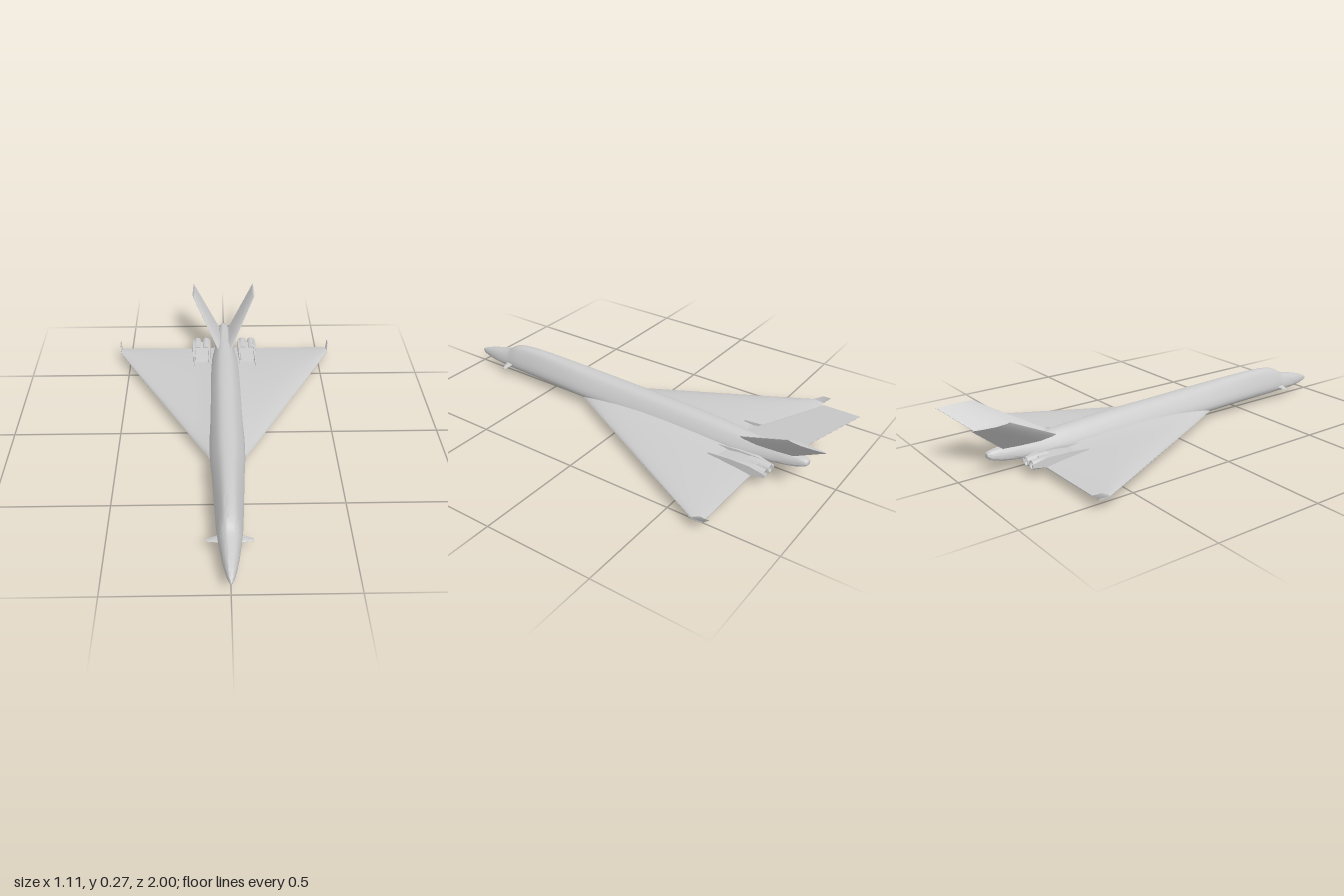
import * as THREE from 'three';
import { toCreasedNormals } from 'three/addons/utils/BufferGeometryUtils.js';

const grey = new THREE.MeshStandardMaterial({ color: 0xcccccc });

// Skin a list of equal-length point rings, cap both ends, face outward
function loft(rings, crease = 0.6) {
  const n = rings[0].length, pos = [], idx = [];
  rings.forEach(r => r.forEach(p => pos.push(...p)));
  for (let i = 0; i < rings.length - 1; i++) {
    for (let j = 0; j < n; j++) {
      const a = i * n + j, b = i * n + (j + 1) % n;
      idx.push(a, b, a + n, b, b + n, a + n);
    }
  }
  [0, rings.length - 1].forEach(i => {
    const c = pos.length / 3;
    for (let k = 0; k < 3; k++) pos.push(rings[i].reduce((s, p) => s + p[k], 0) / n);
    for (let j = 0; j < n; j++) {
      const a = i * n + j, b = i * n + (j + 1) % n;
      if (i === 0) idx.push(c, b, a); else idx.push(c, a, b);
    }
  });
  // the sign of the volume tells whether the faces point outward
  const v = i => new THREE.Vector3().fromArray(pos, idx[i] * 3);
  let volume = 0;
  for (let i = 0; i < idx.length; i += 3) volume += v(i).dot(v(i + 1).cross(v(i + 2)));
  if (volume < 0) idx.reverse();
  const g = new THREE.BufferGeometry();
  g.setAttribute('position', new THREE.Float32BufferAttribute(pos, 3));
  g.setIndex(idx);
  return toCreasedNormals(g, crease);
}

function mesh(name, geometry) {
  const m = new THREE.Mesh(geometry, grey);
  m.name = name;
  return m;
}

// Smoothly interpolate rows of numbers, t from 0 to 1 across the rows
function sample(rows, t) {
  const f = t * (rows.length - 1), i = Math.min(Math.floor(f), rows.length - 2), u = f - i;
  const r = k => rows[Math.max(0, Math.min(rows.length - 1, k))];
  return rows[0].map((_, c) => {
    const [a, b, d, e] = [r(i - 1)[c], r(i)[c], r(i + 1)[c], r(i + 2)[c]];
    const m0 = (d - a) / 2, m1 = (e - b) / 2;
    return b + u * m0 + u * u * (3 * (d - b) - 2 * m0 - m1) + u * u * u * (2 * (b - d) + m0 + m1);
  });
}

// Fuselage: z, half width, bottom y, top y
const BODY = [
  [1.0, 0.002, 0.058, 0.064], [0.98, 0.011, 0.048, 0.076], [0.94, 0.022, 0.041, 0.091],
  [0.88, 0.034, 0.036, 0.107], [0.8, 0.046, 0.034, 0.126], [0.765, 0.05, 0.034, 0.147],
  [0.73, 0.054, 0.033, 0.16], [0.66, 0.058, 0.032, 0.168], [0.56, 0.063, 0.032, 0.17],
  [0.4, 0.071, 0.031, 0.166], [0.25, 0.079, 0.03, 0.161], [0, 0.079, 0.03, 0.153],
  [-0.3, 0.077, 0.03, 0.143], [-0.52, 0.068, 0.03, 0.13], [-0.65, 0.052, 0.034, 0.12],
  [-0.75, 0.038, 0.042, 0.113], [-0.82, 0.028, 0.052, 0.107], [-0.86, 0.021, 0.066, 0.1],
  [-0.87, 0.014, 0.073, 0.094],
];
function fuselage() {
  const rings = [], steps = 72, sides = 36;
  for (let i = 0; i <= steps; i++) {
    const [z, w, lo, hi] = sample(BODY, i / steps);
    const mid = lo + (hi - lo) * 0.33;
    const blend = THREE.MathUtils.smoothstep(z, -0.85, -0.6) * (1 - THREE.MathUtils.smoothstep(z, 0.65, 0.95));
    rings.push(Array.from({ length: sides }, (_, j) => {
      const a = (j / sides) * Math.PI * 2, c = Math.cos(a), s = Math.sin(a);
      // tapering flanks above, flattened belly below
      const pinch = s > 0 ? 1 - 0.18 * blend * Math.sin(2 * a * Math.sign(c)) * Math.sign(c) * Math.sign(c) : 1;
      const x = Math.sign(c) * Math.pow(Math.abs(c), s < 0 ? 0.75 : 1 - 0.1 * blend) * w * pinch;
      const y = s > 0 ? mid + (hi - mid) * Math.pow(s, 0.9)
        : mid - (mid - lo) * Math.pow(-s, 0.75);
      return [x, y, z];
    }));
  }
  return mesh('fuselage', loft(rings, 0.9));
}

// Delta wing: x, leading z, bottom y, top y
const WING = [
  [0, 0.36, 0.027, 0.09], [0.075, 0.26, 0.027, 0.083], [0.1, 0.21, 0.027, 0.077], [0.15, 0.117, 0.028, 0.072],
  [0.22, -0.016, 0.03, 0.068], [0.32, -0.205, 0.033, 0.062], [0.44, -0.43, 0.037, 0.055], [0.55, -0.64, 0.042, 0.049],
];
const CHORD = [0, 0.01, 0.04, 0.1, 0.2, 0.35, 0.5, 0.65, 0.8, 0.9, 1];
function wing(s) {
  return mesh('wing', loft(WING.map(([x, lead, lo, hi]) => {
    const z = t => lead + (-0.69 - lead) * t, le = lo + (hi - lo) * 0.3;
    const top = CHORD.map(t => [s * x, le + (hi - le) * Math.pow(Math.sin(Math.PI * Math.pow(t, 0.75)), 0.7) + 0.002, z(t)]);
    const under = CHORD.slice(1).reverse().map(t => [s * x, lo + (le - lo) * (Math.pow(1 - t, 12) + 0.6 * t ** 6), z(t)]);
    return [...top, ...under];
  }), 0.5));
}

// Thin swept surface from root to tip: each end is [x, y, leading z, trailing z, half thickness]
function fin(name, s, ends) {
  const [r, t] = ends, n = new THREE.Vector2(r[1] - t[1], t[0] - r[0]).normalize();
  const form = [[0, 0.15], [0.08, 0.6], [0.35, 1], [0.7, 0.7], [1, 0.12]];
  return mesh(name, loft(ends.map(([x, y, a, b, h]) => {
    const side = d => form.map(([u, k]) => [s * (x + d * n.x * h * k), y + d * n.y * h * k, a + (b - a) * u]);
    return [...side(1), ...side(-1).reverse()];
  }), 0.5));
}

// Trapezoidal body along z: rows are z, top y, bottom y, half width at top, half width at bottom
function box(name, x, rows) {
  return mesh(name, loft(rows.map(([z, hi, lo, wt, wb]) =>
    [[x - wt, hi, z], [x + wt, hi, z], [x + wb, lo, z], [x - wb, lo, z]]), 0.4));
}

// Open tapered exhaust with a wall thickness
function nozzle(x) {
  const pts = [[0.014, -0.05], [0.023, -0.05], [0.024, 0], [0.019, 0.05], [0.016, 0.05], [0.015, 0], [0, -0.02]];
  const g = new THREE.LatheGeometry(pts.map(p => new THREE.Vector2(...p)), 20);
  g.rotateX(-Math.PI / 2);
  const m = mesh('exhaustNozzle', toCreasedNormals(g, 0.5));
  m.material = new THREE.MeshStandardMaterial({ color: 0xcccccc, side: THREE.DoubleSide });
  m.position.set(x, 0.058, -0.695);
  return m;
}

export function createModel() {
  const g = new THREE.Group();
  g.name = 'deltaWingJet';
  g.add(fuselage());
  for (const s of [1, -1]) {
    g.add(wing(s));
    g.add(fin('winglet', s, [[0.544, 0.042, -0.625, -0.69, 0.004], [0.549, 0.052, -0.645, -0.7, 0.003], [0.555, 0.076, -0.685, -0.725, 0.002]]));
    g.add(fin('tailFin', s, [[0.028, 0.108, -0.55, -0.81, 0.009], [0.163, 0.27, -0.84, -1.0, 0.007]]));
    g.add(fin('canard', s, [[0.03, 0.068, 0.795, 0.745, 0.005], [0.095, 0.056, 0.775, 0.76, 0.003]]));
    // underwing intakes, the outer one set further back
    [[0.115, -0.035], [0.17, -0.185]].forEach(([x, z]) => g.add(box('intake', s * x, [
      [z, 0.034, 0.012, 0.025, 0.02], [z - 0.025, 0.034, 0, 0.025, 0.017],
      [z - 0.09, 0.034, 0.002, 0.025, 0.017], [z - 0.16, 0.034, 0.026, 0.02, 0.016],
    ])));
    // slim fairings on the upper rear wing
    [0.08, 0.16].forEach(x => g.add(box('engineFairing', s * x, [
      [-0.48, 0.07, 0.06, 0.001, 0.002], [-0.58, 0.08, 0.045, 0.005, 0.008],
      [-0.68, 0.082, 0.042, 0.007, 0.01], [-0.75, 0.066, 0.052, 0.004, 0.005],
    ])));
    // engine housing and its paired exhausts
    g.add(box('engineHousing', s * 0.12, [
      [-0.5, 0.06, 0.045, 0.03, 0.036], [-0.6, 0.073, 0.04, 0.036, 0.042], [-0.7, 0.076, 0.042, 0.036, 0.042],
    ]));
    [0.097, 0.143].forEach(x => g.add(nozzle(s * x)));
  }
  return g;
}
